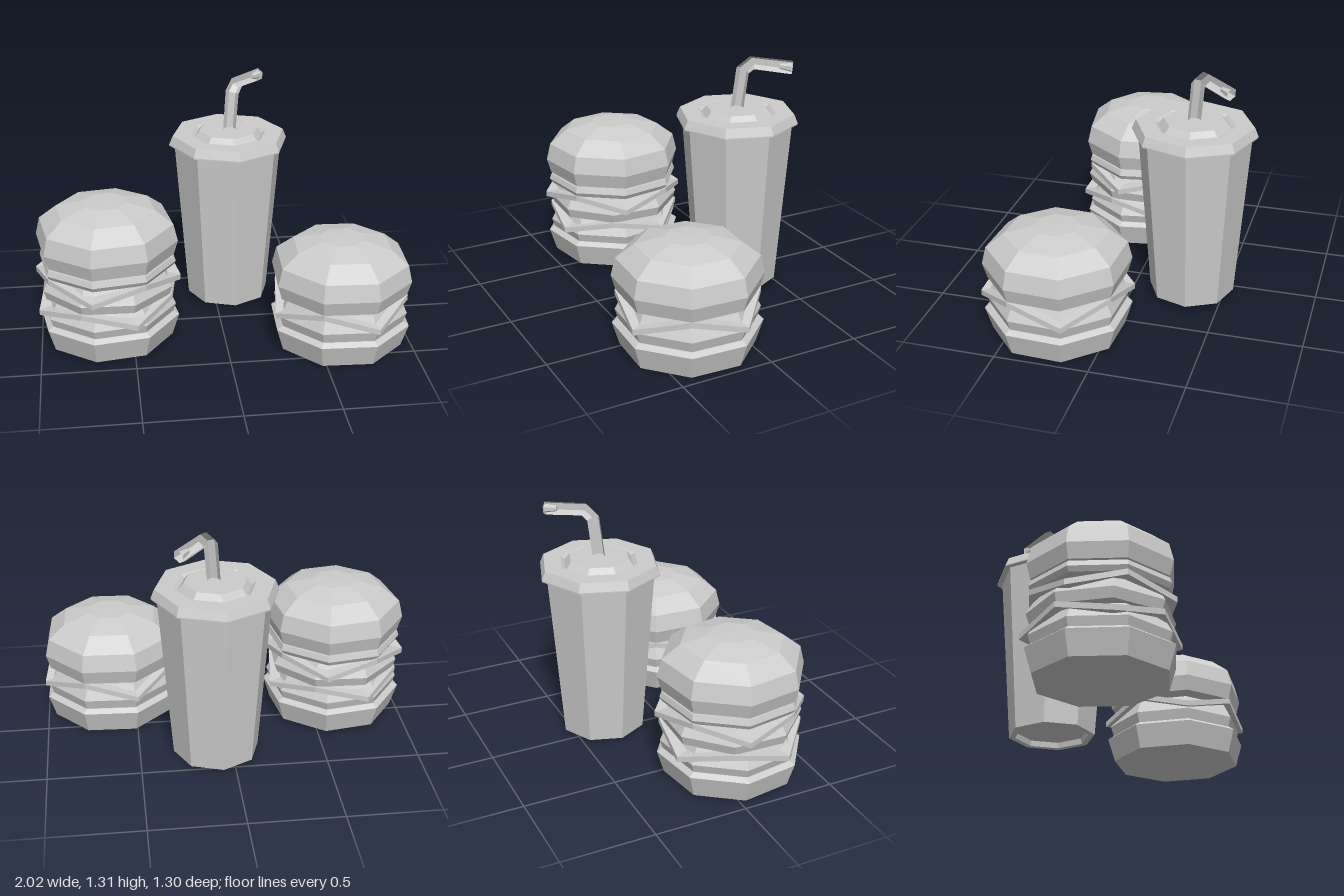
import * as THREE from 'three';

const grey = new THREE.MeshStandardMaterial({ color: 0xcccccc });
grey.name = 'plain grey';
grey.flatShading = true;

// Eight-sided turned part; points are [radius, y] from bottom to top
function turned(name, points, turn) {
  const geo = new THREE.LatheGeometry(points.map(([r, y]) => new THREE.Vector2(r, y)), 8, turn);
  const mesh = new THREE.Mesh(geo, grey);
  mesh.name = name;
  return mesh;
}

// Thin slice whose four corners hang down over the layer below
function slice(name, y, drop, turn) {
  const mesh = turned(name, [[0, y - 0.03], [0.37, y - 0.03], [0.37, y], [0, y]], turn);
  const pos = mesh.geometry.attributes.position;
  for (let i = 0; i < pos.count; i++) {
    const column = Math.floor(i / 4), row = i % 4;
    if (column % 2 === 0 && (row === 1 || row === 2)) {
      const grow = 0.4 / 0.37;
      pos.setXYZ(i, pos.getX(i) * grow, pos.getY(i) - drop, pos.getZ(i) * grow);
    }
  }
  mesh.geometry.computeVertexNormals();
  return mesh;
}

function bottomBun(y, turn) {
  return turned('bottomBun', [[0, y], [0.35, y], [0.388, y + 0.125], [0.36, y + 0.145], [0, y + 0.145]], turn);
}

function topBun(y, turn) {
  return turned('topBun', [[0, y], [0.365, y], [0.388, y + 0.08], [0.365, y + 0.175],
    [0.27, y + 0.25], [0.12, y + 0.287], [0, y + 0.29]], turn);
}

function patty(y, height, turn) {
  return turned('patty', [[0, y], [0.355, y], [0.372, y + height * 0.4],
    [0.33, y + height], [0, y + height]], turn);
}

function smallBurger() {
  const g = new THREE.Group(), turn = 0.345;
  g.name = 'smallBurger';
  g.add(bottomBun(0, turn), patty(0.145, 0.14, turn), slice('cheese', 0.312, 0.08, turn), topBun(0.31, turn));
  g.position.set(0.628, 0, 0.273);
  return g;
}

function doubleBurger() {
  const g = new THREE.Group(), turn = -0.24, twist = 0.36;
  g.name = 'doubleBurger';
  g.add(
    bottomBun(0.02, turn),
    patty(0.16, 0.13, turn),
    slice('lowerCheese', 0.305, 0.06, twist),
    patty(0.3, 0.13, twist),
    slice('upperCheese', 0.45, 0.06, turn),
    turned('tomato', [[0, 0.44], [0.36, 0.445], [0.375, 0.47], [0.365, 0.5], [0, 0.51]], turn),
    topBun(0.51, turn)
  );
  g.position.set(-0.625, 0, 0.104);
  return g;
}

// Hexagonal bent straw, lofted through rings in the plane of the bend
function straw() {
  const out = new THREE.Vector3(0.65, 0, -0.76).normalize();
  const side = new THREE.Vector3(0, 1, 0).cross(out);
  // [distance outward, y, tilt of the ring, radius]
  const rings = [
    [0, 0.99, 0.09, 0.035], [0.03, 1.23, 0.45, 0.037], [0.08, 1.275, 1.25, 0.037],
    [0.295, 1.262, 1.63, 0.037], [0.295, 1.262, 1.63, 0.024], [0.23, 1.266, 1.63, 0.015], [0.23, 1.266, 1.63, 0]
  ];
  const verts = [], index = [];
  for (const [d, y, tilt, r] of rings) {
    const across = out.clone().multiplyScalar(Math.cos(tilt)).setY(-Math.sin(tilt));
    for (let k = 0; k < 6; k++) {
      const a = k * Math.PI / 3;
      const p = out.clone().multiplyScalar(d).setY(y)
        .addScaledVector(across, r * Math.cos(a)).addScaledVector(side, r * Math.sin(a));
      verts.push(p.x, p.y, p.z);
    }
  }
  for (let i = 0; i < rings.length - 1; i++) {
    for (let k = 0; k < 6; k++) {
      const a = i * 6 + k, b = i * 6 + (k + 1) % 6;
      index.push(a, a + 6, b, b, a + 6, b + 6);
    }
  }
  const geo = new THREE.BufferGeometry();
  geo.setAttribute('position', new THREE.Float32BufferAttribute(verts, 3));
  geo.setIndex(index);
  geo.computeVertexNormals();
  const mesh = new THREE.Mesh(geo, grey);
  mesh.name = 'straw';
  mesh.position.set(0.005, 0, 0.005);
  return mesh;
}

function drink() {
  const g = new THREE.Group(), turn = 0.075;
  g.name = 'drink';
  g.add(
    // Cup with a hollow foot
    turned('cup', [[0, 0.05], [0.195, 0.05], [0.2, 0.02], [0.233, 0.02], [0.305, 0.95]], turn),
    // Lid with a groove around the raised centre
    turned('lid', [[0.29, 0.945], [0.335, 0.945], [0.335, 0.952], [0.315, 1.0], [0.215, 1.0],
      [0.195, 0.985], [0.165, 1.02], [0, 1.02]], turn),
    straw()
  );
  g.position.set(0.085, 0, -0.318);
  return g;
}

export function createModel() {
  const model = new THREE.Group();
  model.name = 'burgersAndDrink';
  model.add(doubleBurger(), drink(), smallBurger());
  return model;
}
